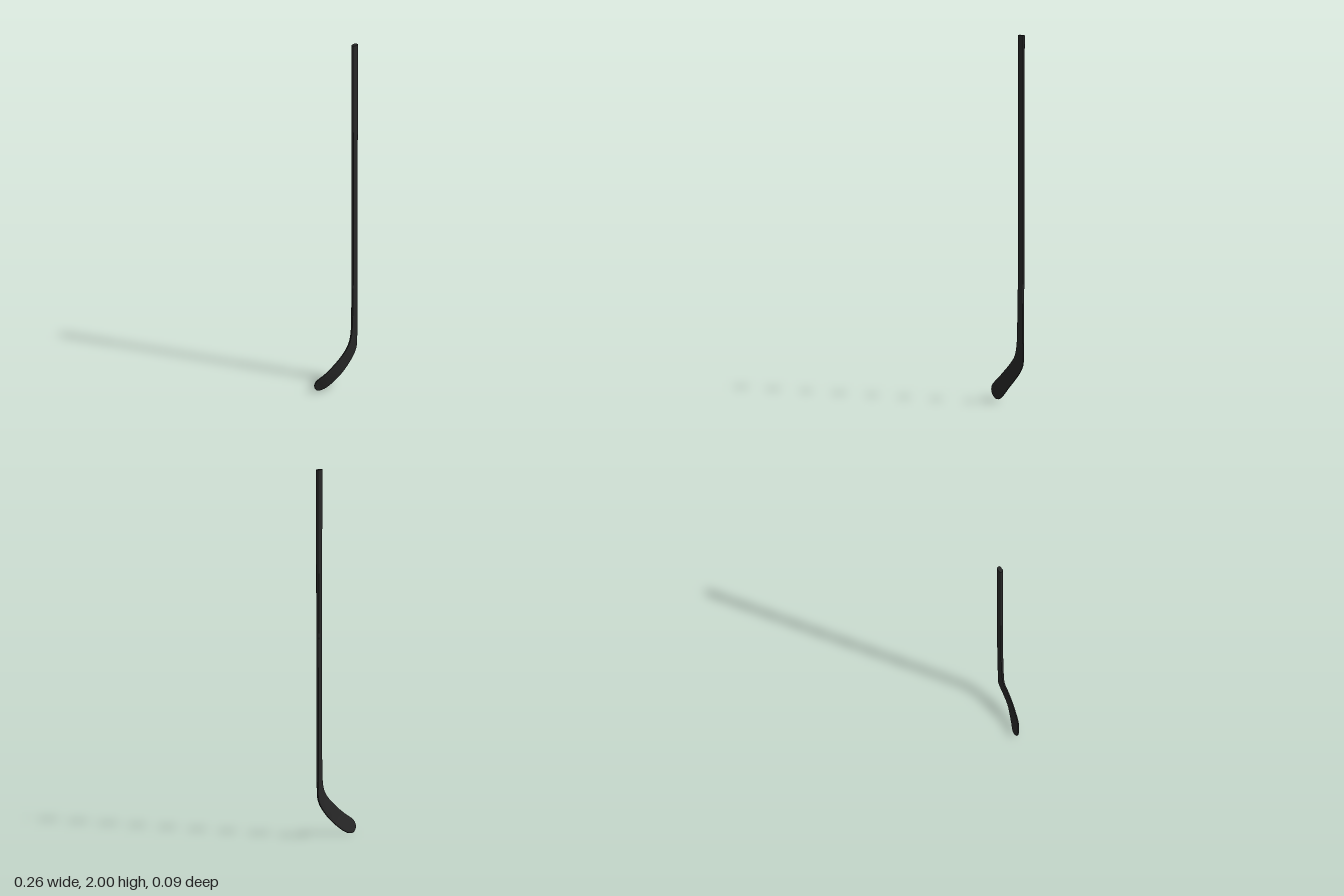
import * as THREE from 'three';

const SIDES = 32;

// Lofts rounded flat sections. Each row: inner edge x,y,z, outer edge x,y,z, thickness
function loft(rows, steps, capStart, capEnd) {
  const inner = new THREE.CatmullRomCurve3(rows.map(r => new THREE.Vector3(r[0], r[1], r[2])));
  const outer = new THREE.CatmullRomCurve3(rows.map(r => new THREE.Vector3(r[3], r[4], r[5])));
  const pos = [], idx = [];
  const soft = v => Math.sign(v) * Math.pow(Math.abs(v), 0.4);
  const middle = t => inner.getPoint(t).add(outer.getPoint(t)).multiplyScalar(0.5);

  for (let i = 0; i <= steps; i++) {
    const t = i / steps;
    const a = inner.getPoint(t), b = outer.getPoint(t);
    const centre = a.clone().add(b).multiplyScalar(0.5);
    const half = b.clone().sub(a).multiplyScalar(0.5);
    const along = middle(Math.min(1, t + 0.005)).sub(middle(Math.max(0, t - 0.005)));
    const normal = along.cross(half).normalize();
    const f = t * (rows.length - 1), k = Math.min(rows.length - 2, Math.floor(f));
    const thick = THREE.MathUtils.lerp(rows[k][6], rows[k + 1][6], f - k);
    for (let j = 0; j < SIDES; j++) {
      const ang = (j / SIDES) * Math.PI * 2;
      const p = centre.clone()
        .addScaledVector(half, soft(Math.cos(ang)))
        .addScaledVector(normal, soft(Math.sin(ang)) * thick / 2);
      pos.push(p.x, p.y, p.z);
    }
  }
  for (let i = 0; i < steps; i++) {
    for (let j = 0; j < SIDES; j++) {
      const n = (j + 1) % SIDES, r = i * SIDES, s = r + SIDES;
      idx.push(r + j, r + n, s + j, r + n, s + n, s + j);
    }
  }
  // Flat end caps with their own vertices, so the rim stays sharp
  const cap = (ring, atStart) => {
    const base = pos.length / 3;
    const c = middle(atStart ? 0 : 1);
    pos.push(...pos.slice(ring * SIDES * 3, (ring + 1) * SIDES * 3), c.x, c.y, c.z);
    for (let j = 0; j < SIDES; j++) {
      const n = (j + 1) % SIDES;
      if (atStart) idx.push(base + SIDES, base + n, base + j);
      else idx.push(base + SIDES, base + j, base + n);
    }
  };
  if (capStart) cap(0, true);
  if (capEnd) cap(steps, false);

  const geo = new THREE.BufferGeometry();
  geo.setAttribute('position', new THREE.Float32BufferAttribute(pos, 3));
  geo.setIndex(idx);
  geo.computeVertexNormals();
  return geo;
}

export function createModel() {
  const group = new THREE.Group();
  group.name = 'hockeyStick';
  const carbon = new THREE.MeshStandardMaterial({ color: 0x282828 });
  carbon.name = 'carbonBlack';

  const add = (name, geo) => {
    const mesh = new THREE.Mesh(geo, carbon);
    mesh.name = name;
    group.add(mesh);
  };

  // Straight shaft, narrowing slightly towards the bottom
  add('shaft', loft([
    [0.092, 2.00, 0.0335, 0.127, 2.00, 0.0335, 0.022],
    [0.092, 1.30, 0.0335, 0.126, 1.30, 0.0335, 0.021],
    [0.091, 0.65, 0.0340, 0.125, 0.65, 0.0340, 0.019],
  ], 12, true, false));

  // Heel and curved, tilted blade with a rounded toe
  add('blade', loft([
    [0.091, 0.650, 0.034, 0.125, 0.650, 0.034, 0.019],
    [0.086, 0.400, 0.035, 0.124, 0.390, 0.035, 0.016],
    [0.081, 0.310, 0.035, 0.124, 0.275, 0.035, 0.014],
    [0.067, 0.255, 0.035, 0.122, 0.215, 0.034, 0.012],
    [0.042, 0.218, 0.034, 0.106, 0.176, 0.033, 0.011],
    [0.000, 0.175, 0.026, 0.070, 0.130, 0.029, 0.010],
    [-0.050, 0.130, 0.011, 0.025, 0.083, 0.020, 0.010],
    [-0.090, 0.098, -0.004, -0.020, 0.040, 0.000, 0.010],
    [-0.112, 0.080, -0.018, -0.055, 0.012, -0.018, 0.010],
    [-0.122, 0.068, -0.027, -0.080, 0.001, -0.032, 0.010],
    [-0.128, 0.052, -0.034, -0.105, 0.003, -0.039, 0.009],
    [-0.129, 0.040, -0.038, -0.122, 0.018, -0.041, 0.007],
  ], 66, false, true));

  return group;
}
